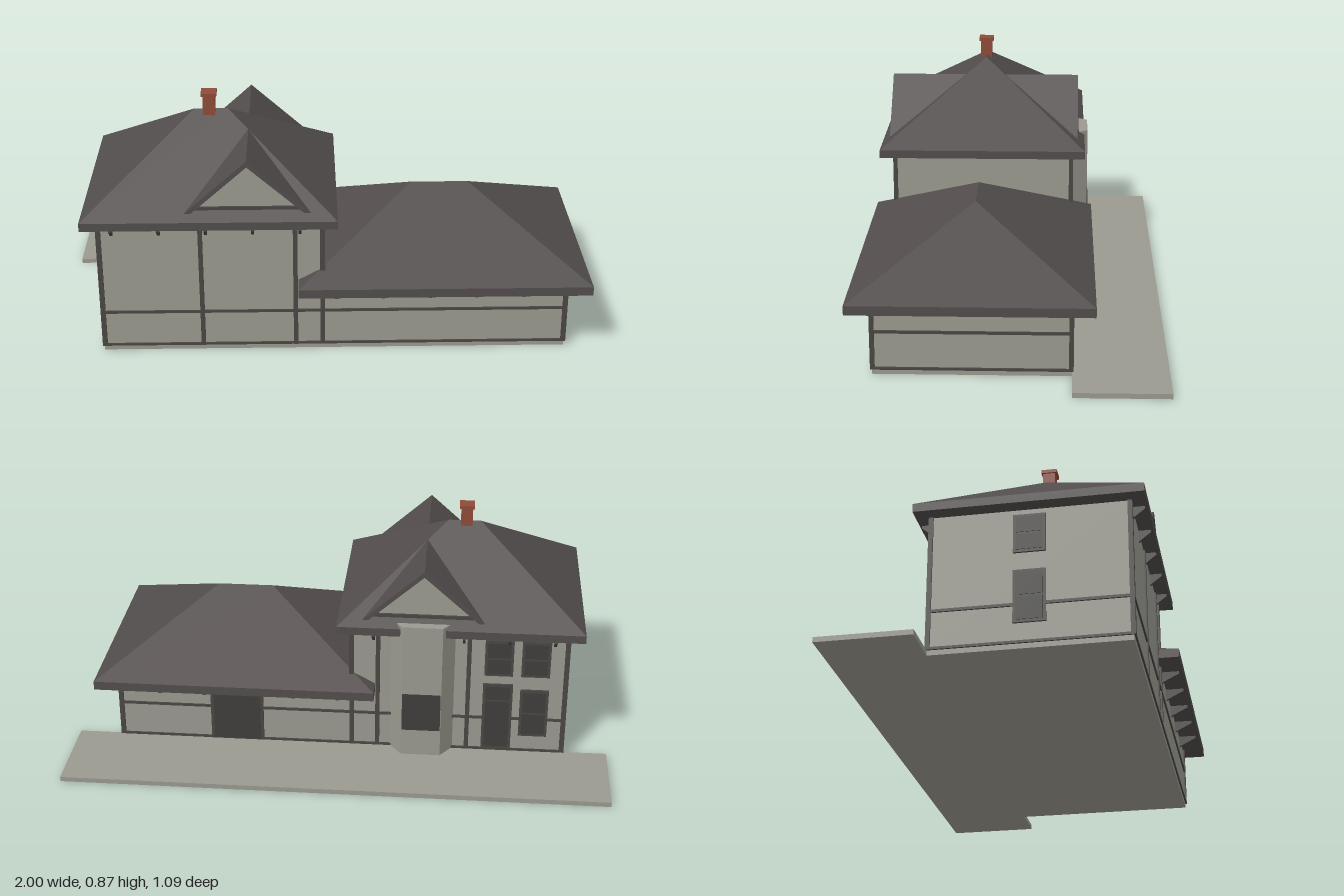
import * as THREE from 'three';

const mat = (name, color) => {
  const m = new THREE.MeshStandardMaterial({ color });
  m.name = name;
  return m;
};

export function createModel() {
  const root = new THREE.Group();
  root.name = 'station';
  const wall = mat('grey wall', 0x9b9a90);
  const roof = mat('dark roof', 0x524d4c);
  const trim = mat('dark trim', 0x4a4643);
  const glass = mat('dark glass', 0x403e3c);
  const brick = mat('red brick', 0x8e4b38);

  const add = (name, geo, material) => {
    const mesh = new THREE.Mesh(geo, material);
    mesh.name = name;
    root.add(mesh);
    return mesh;
  };
  // Box given by its limits on each axis
  const box = (name, m, x0, x1, y0, y1, z0, z1) => {
    const g = new THREE.BoxGeometry(x1 - x0, y1 - y0, z1 - z0);
    g.translate((x0 + x1) / 2, (y0 + y1) / 2, (z0 + z1) / 2);
    return add(name, g, m);
  };
  // Flat-faced solid from corner points and polygons (counter-clockwise seen from outside)
  const solid = (name, m, pts, faces) => {
    const pos = [];
    for (const f of faces)
      for (let i = 1; i < f.length - 1; i++) pos.push(...pts[f[0]], ...pts[f[i]], ...pts[f[i + 1]]);
    const g = new THREE.BufferGeometry();
    g.setAttribute('position', new THREE.Float32BufferAttribute(pos, 3));
    g.computeVertexNormals();
    return add(name, g, m);
  };

  const ZB = -0.215, ZF = 0.46, ZM = 0.1225;
  const X0 = -0.835, XM = -0.04, X1 = 0.835;

  // Ground slabs and walls
  box('platform', wall, -1, 1, 0, 0.018, -0.545, ZB);
  box('foundation', wall, X0, X1, 0, 0.018, ZB, ZF);
  box('mainWalls', wall, X0, XM, 0.018, 0.51, ZB, ZF);
  box('wingWalls', wall, XM, X1, 0.018, 0.255, ZB, ZF);

  // Hip roof with a vertical eave band
  const hipRoof = (name, x0, x1, z0, z1, y0, y1, r0, r1, top) => {
    box(name + 'Eave', roof, x0, x1, y0, y1, z0, z1);
    solid(name, roof, [
      [x0, y1, z1], [x1, y1, z1], [x1, y1, z0], [x0, y1, z0], [r0, top, ZM], [r1, top, ZM],
    ], [[0, 1, 5, 4], [1, 2, 5], [2, 3, 4, 5], [3, 0, 4]]);
  };
  hipRoof('mainRoof', -0.89, 0.01, -0.265, 0.512, 0.505, 0.535, -0.5, -0.38, 0.805);
  hipRoof('wingRoof', -0.13, 0.915, -0.293, 0.54, 0.247, 0.28, 0.29, 0.5, 0.505);

  // Gable dormers, front and back
  const DX = -0.305;
  for (const s of [1, -1]) {
    const z = (d) => ZM + s * d;
    const label = s > 0 ? 'front' : 'back';
    for (const side of [1, -1]) {
      const t = 0.022;
      const top = [[DX, 0.754, z(0.362)], [DX + side * 0.22, 0.558, z(0.36)], [DX, 0.754, z(0.075)]];
      const pts = [...top, ...top.map(([x, y, w]) => [x, y - t, w])];
      const faces = [[0, 1, 2], [5, 4, 3], [0, 3, 4, 1], [1, 4, 5, 2], [2, 5, 3, 0]];
      solid(label + 'DormerRoof', roof, pts, side * s > 0 ? faces : faces.map((f) => [...f].reverse()));
    }
    const gable = [[DX - 0.2, 0.558, z(0.34)], [DX + 0.2, 0.558, z(0.34)], [DX, 0.745, z(0.34)]];
    solid(label + 'Gable', wall, gable, [s > 0 ? [0, 1, 2] : [2, 1, 0]]);
    const zs = [z(0.335), z(0.348)].sort((a, b) => a - b);
    box(label + 'GableSill', trim, DX - 0.185, DX + 0.185, 0.555, 0.575, zs[0], zs[1]);
  }

  // Chimney
  const CX = -0.447;
  box('chimney', brick, CX - 0.022, CX + 0.022, 0.7, 0.862, ZM - 0.02, ZM + 0.024);
  box('chimneyCap', brick, CX - 0.028, CX + 0.028, 0.86, 0.873, ZM - 0.026, ZM + 0.03);

  // Wall trim: posts, belts and sills
  const T = 0.006;
  const faces = [['front', ZF, ZF + T], ['back', ZB - T, ZB]];
  for (const [label, a, b] of faces) {
    for (const [x, h] of [[X0 + 0.004, 0.505], [-0.475, 0.505], [-0.14, 0.505], [XM - 0.004, 0.505], [X1 - 0.004, 0.25]])
      box(label + 'Post', trim, x - 0.008, x + 0.008, 0.018, h, a, b);
    box(label + 'Belt', trim, X0, X1, 0.151, 0.161, a, b - 0.001);
    box(label + 'Sill', trim, X0, X1, 0.018, 0.027, a, b - 0.001);
  }
  for (const [label, a, b, h] of [['right', X0 - T, X0, 0.505], ['left', X1, X1 + T, 0.25]]) {
    for (const z of [ZB + 0.002, ZF - 0.002])
      box(label + 'Post', trim, a, b, 0.018, h, z - 0.008, z + 0.008);
    box(label + 'Belt', trim, a, b, 0.151, 0.161, ZB, ZF);
    box(label + 'Sill', trim, a, b, 0.018, 0.027, ZB, ZF);
  }
  for (const z of [ZB + 0.002, ZF - 0.002])
    box('mainCornerPost', trim, XM, XM + T, 0.25, 0.505, z - 0.008, z + 0.008);

  // Eave brackets
  const bracket = (x, y, out, drop) => {
    for (const s of [1, -1]) {
      const w = s > 0 ? ZF : ZB;
      const pts = [];
      for (const dx of [-0.005, 0.005])
        pts.push([x + dx, y, w], [x + dx, y, w + s * out], [x + dx, y - 0.012, w + s * out], [x + dx, y - drop, w]);
      const f = [[0, 3, 2, 1], [4, 5, 6, 7], [1, 2, 6, 5], [2, 3, 7, 6]];
      solid('eaveBracket', trim, pts, s > 0 ? f : f.map((p) => [...p].reverse()));
    }
  };
  for (let i = 0; i < 5; i++) {
    bracket(-0.785 + i * 0.1655, 0.507, 0.042, 0.045);
    bracket(0.005 + i * 0.1665, 0.249, 0.066, 0.045);
  }

  // Bay on the platform side
  const bay = new THREE.Shape();
  bay.moveTo(-0.43, -ZB - 0.01);
  bay.lineTo(-0.18, -ZB - 0.01);
  bay.lineTo(-0.232, 0.278);
  bay.lineTo(-0.378, 0.278);
  const bayGeo = new THREE.ExtrudeGeometry(bay, { depth: 0.532, bevelEnabled: false });
  bayGeo.rotateX(-Math.PI / 2);
  bayGeo.translate(0, 0.018, 0);
  add('bay', bayGeo, wall);
  box('bayWindow', glass, -0.376, -0.234, 0.125, 0.275, -0.282, -0.277);

  // Sash windows and doors: a frame plate, then panes
  const opening = (name, onSide, c, w, y0, y1, split) => {
    const plate = (n, m, a, b, lo, hi, depth) => onSide
      ? box(n, m, X0 - depth, X0, lo, hi, a, b)
      : box(n, m, a, b, lo, hi, ZB - depth, ZB);
    plate(name + 'Frame', trim, c - w / 2, c + w / 2, y0, y1, 0.007);
    const mid = y0 + (y1 - y0) * split, e = 0.01;
    plate(name + 'LowerPane', glass, c - w / 2 + e, c + w / 2 - e, y0 + e, mid - 0.004, 0.009);
    plate(name + 'UpperPane', glass, c - w / 2 + e, c + w / 2 - e, mid + 0.004, y1 - e, 0.009);
  };
  opening('backDoor', false, -0.585, 0.11, 0.027, 0.3, 0.75);
  opening('backWindow', false, -0.72, 0.105, 0.085, 0.28, 0.5);
  opening('sideWindow', true, ZM, 0.11, 0.09, 0.28, 0.5);
  for (const x of [-0.585, -0.72]) opening('upperWindow', false, x, 0.105, 0.335, 0.48, 0.5);
  opening('upperSideWindow', true, ZM, 0.11, 0.345, 0.485, 0.5);

  // Freight door on the wing
  box('freightDoorFrame', trim, 0.29, 0.49, 0.018, 0.23, ZB - 0.007, ZB);
  box('freightDoor', glass, 0.302, 0.478, 0.022, 0.22, ZB - 0.009, ZB);

  return root;
}
